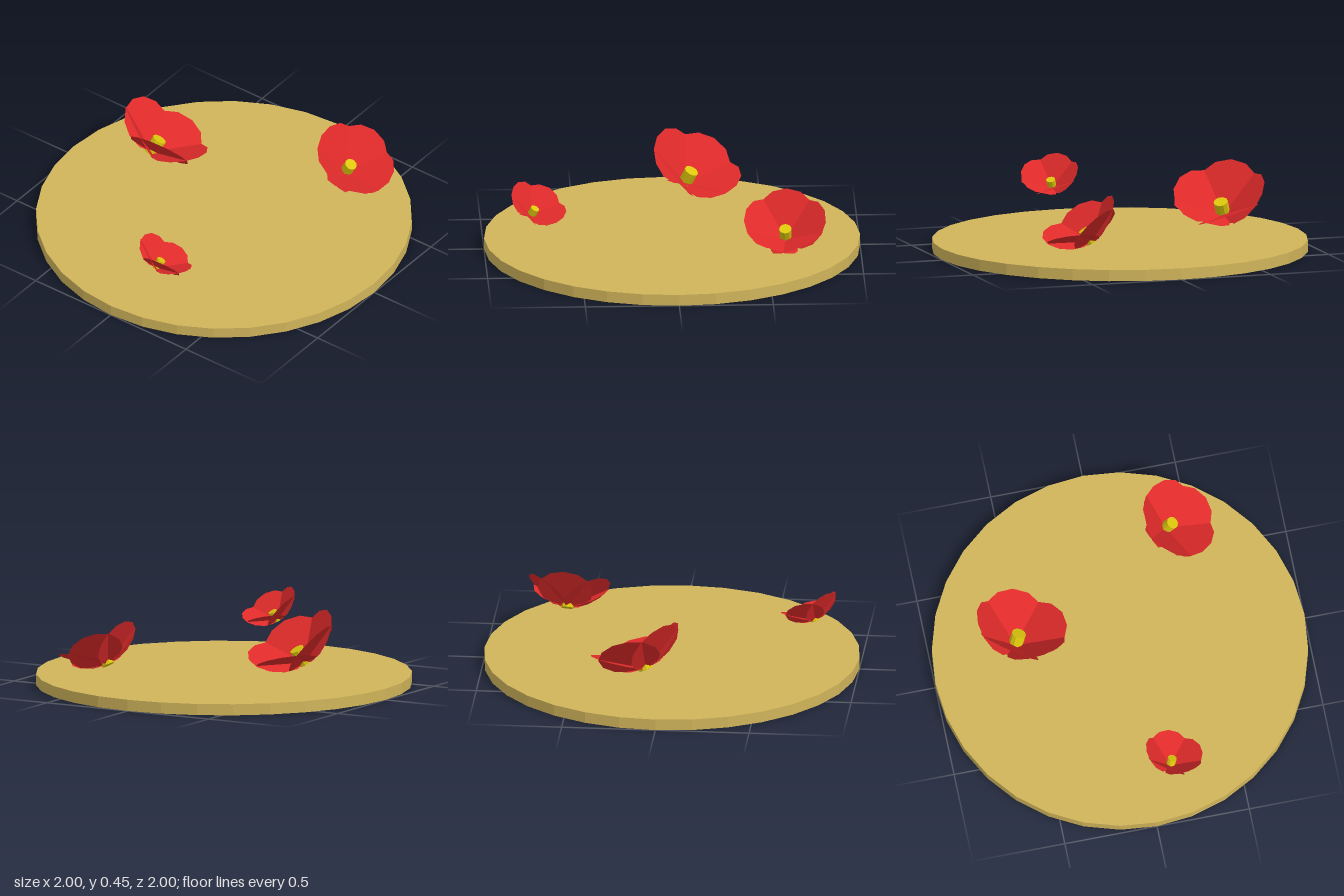
import * as THREE from 'three';

const sand = new THREE.MeshStandardMaterial({ color: 0xd0b45a, flatShading: true });
const red = new THREE.MeshStandardMaterial({ color: 0xe02a2a, flatShading: true, side: THREE.DoubleSide });
const yellow = new THREE.MeshStandardMaterial({ color: 0xdcc60c, flatShading: true });

const rad = THREE.MathUtils.degToRad;
const PETALS = 5;
const OPENING = rad(55); // petal angle away from the flower axis
const TILT = rad(30);    // lean of the whole flower

// Flat, slightly wide petal whose inner edge touches the flower's base
const petalGeometry = new THREE.CircleGeometry(1, 12).scale(1.12, 1, 1).translate(0, 1, 0);
const stamenGeometry = new THREE.CylinderGeometry(0.25, 0.25, 0.6, 10).translate(0, 0.27, 0);

function createFlower(x, y, z, size, turn) {
  const flower = new THREE.Group();
  flower.name = 'flower';
  for (let i = 0; i < PETALS; i++) {
    const petal = new THREE.Mesh(petalGeometry, red);
    petal.name = 'petal';
    petal.rotation.set(OPENING, Math.PI + (i * 2 * Math.PI) / PETALS, 0, 'YXZ');
    flower.add(petal);
  }
  const stamen = new THREE.Mesh(stamenGeometry, yellow);
  stamen.name = 'stamen';
  flower.add(stamen);

  flower.position.set(x, y, z);
  flower.rotation.set(TILT, rad(turn), 0, 'YXZ');
  flower.scale.setScalar(size);
  return flower;
}

export function createModel() {
  const model = new THREE.Group();
  model.name = 'flowerDisc';

  // Round ground slab
  const base = new THREE.Mesh(new THREE.CylinderGeometry(1, 1, 0.06, 32), sand);
  base.name = 'base';
  base.position.y = 0.03;
  model.add(base);

  // Three flowers hovering above the slab
  model.add(
    createFlower(0.09, 0.175, -0.55, 0.153, 52),
    createFlower(0.59, 0.16, 0.365, 0.134, -5),
    createFlower(-0.755, 0.222, 0.12, 0.096, 52)
  );
  return model;
}
